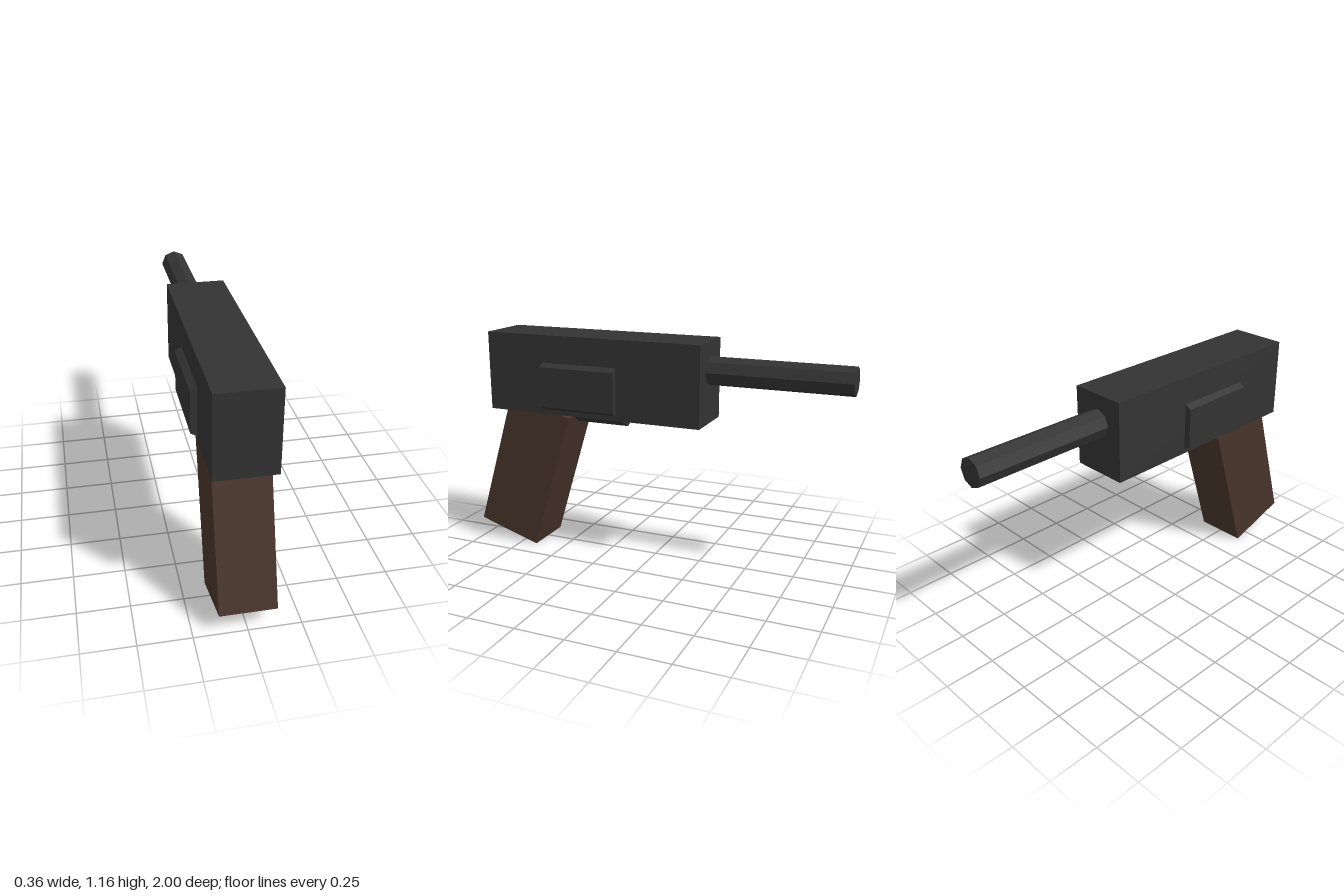
import * as THREE from 'three';

export function createModel() {
  const model = new THREE.Group();
  const metal = new THREE.MeshStandardMaterial({ name: 'darkMetal', color: 0x333333, flatShading: true });
  const wood = new THREE.MeshStandardMaterial({ name: 'brownWood', color: 0x47342a, flatShading: true });

  const add = (name, geometry, material, y, z) => {
    const mesh = new THREE.Mesh(geometry, material);
    mesh.name = name;
    mesh.position.set(0, y, z);
    model.add(mesh);
    return mesh;
  };

  // Prism lying along z, with a corner pointing up and one pointing down
  const prism = (radius, z0, z1, sides) =>
    new THREE.CylinderGeometry(radius, radius, z1 - z0, sides).rotateX(Math.PI / 2);

  // Main block
  add('body', new THREE.BoxGeometry(0.293, 0.41, 1.18), metal, 0.955, 0.3);

  // Octagonal barrel pointing to the back, seated slightly in the body
  add('barrel', prism(0.071, -1, -0.27, 8), metal, 1.015, -0.635);

  // Hexagonal drum, showing through both sides and the underside of the body
  add('drum', prism(0.207, 0.155, 0.57, 6), metal, 0.896, 0.3625);

  // Slanted grip
  const grip = add('grip', new THREE.BoxGeometry(0.267, 0.766, 0.356), wood, 0.418, 0.717);
  grip.rotation.x = -0.3;

  return model;
}
